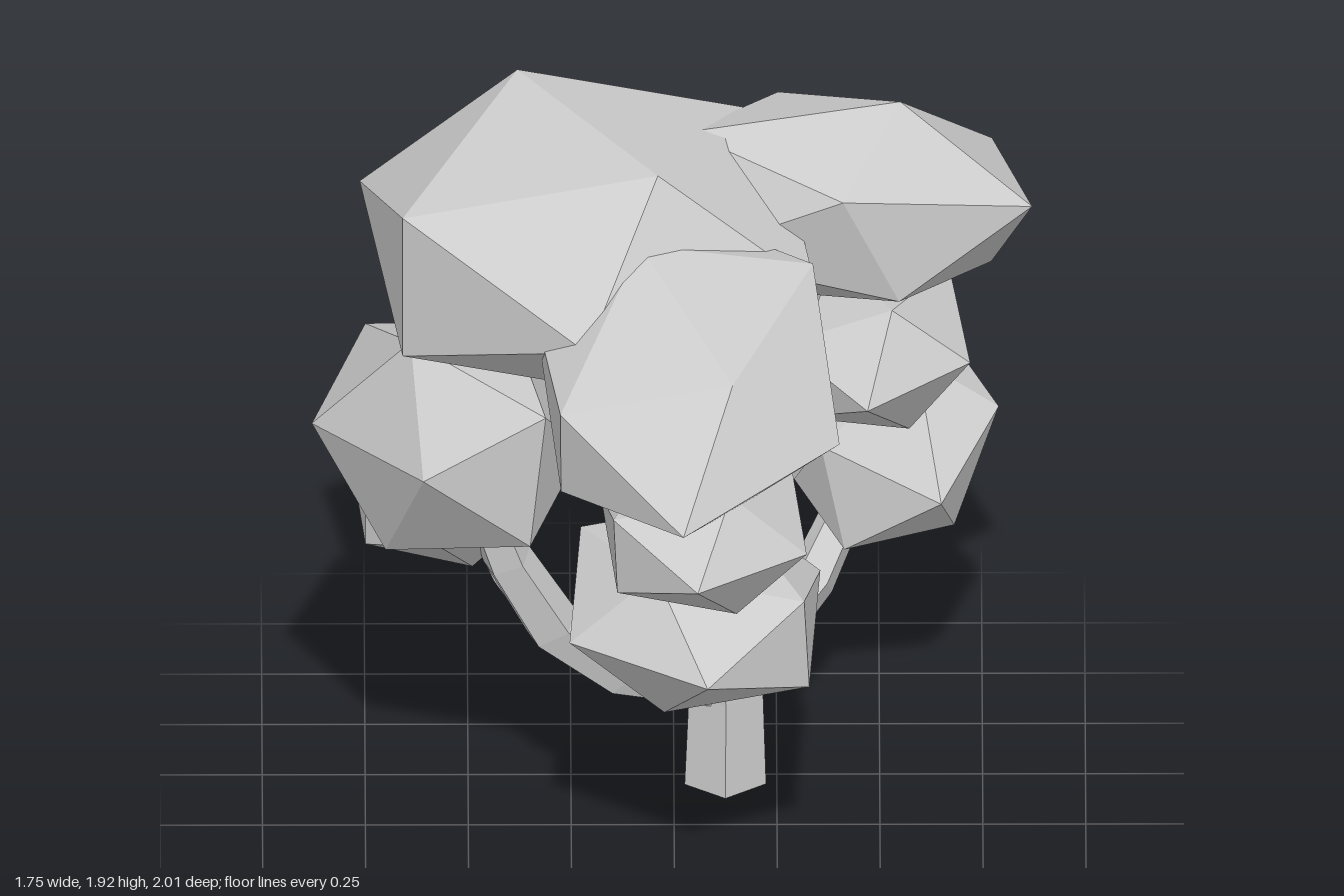
import * as THREE from 'three';
import { ConvexGeometry } from 'three/addons/geometries/ConvexGeometry.js';

const V = (p) => new THREE.Vector3(...p);

// Stretched icosahedron, set by its centre and the three corners of one face
function clump(centre, p, q, r) {
  const o = V(centre);
  const [a, b, c] = [p, q, r].map((k) => V(k).sub(o));
  const k = (Math.sqrt(5) - 1) / 2;
  const across = (u, v, w) => u.clone().add(v).multiplyScalar(k).sub(w);
  const axes = [a, b, c, across(a, b, c), across(b, c, a), across(c, a, b)];
  const points = axes.flatMap((v) => [o.clone().add(v), o.clone().sub(v)]);
  return new ConvexGeometry(points);
}

// Five-sided tapering limb along a curve; the first ring closes the lower end
function limb(path, r0, r1, rings = 5) {
  const curve = new THREE.CatmullRomCurve3(path.map(V));
  const geo = new THREE.TubeGeometry(curve, rings, 1, 5);
  const pos = geo.attributes.position;
  const v = new THREE.Vector3();
  for (let i = 0; i < pos.count; i++) {
    const ring = Math.floor(i / 6);
    const t = Math.max(0, ring - 1) / (rings - 1);
    const radius = ring === 0 ? 0 : THREE.MathUtils.lerp(r0, r1, t);
    v.fromBufferAttribute(pos, i).sub(curve.getPointAt(ring / rings));
    v.multiplyScalar(radius).add(curve.getPointAt(t));
    pos.setXYZ(i, v.x, v.y, v.z);
  }
  return geo;
}

export function createModel() {
  const tree = new THREE.Group();
  tree.name = 'tree';
  const material = new THREE.MeshStandardMaterial({ color: 0xcccccc, flatShading: true });
  const add = (name, geometry) => {
    const mesh = new THREE.Mesh(geometry, material);
    mesh.name = name;
    tree.add(mesh);
  };

  // Trunk
  add('trunk', limb([[0.125, 0, -0.232], [0.125, 0.3, -0.232], [0.095, 0.7, -0.232],
    [0.08, 1.0, -0.232], [0.03, 1.5, -0.225]], 0.104, 0.05, 7));

  // Branches, each ending inside its clump of leaves: base radius, then path
  const branches = {
    leftSide: [0.085, [0.1, 0.3, -0.22], [-0.2, 0.4, -0.12], [-0.37, 0.64, -0.05], [-0.48, 0.95, 0]],
    lowLeft: [0.05, [-0.25, 0.46, -0.1], [-0.38, 0.58, -0.15], [-0.5, 0.8, -0.22]],
    lowBack: [0.075, [0.14, 0.32, -0.22], [0.33, 0.42, -0.45], [0.46, 0.66, -0.64]],
    lowFront: [0.065, [0.1, 0.44, -0.22], [0.09, 0.53, 0], [0.07, 0.68, 0.2]],
    rightSide: [0.055, [0.1, 0.65, -0.25], [0.3, 0.84, -0.38], [0.42, 1.0, -0.43]],
    middleFront: [0.055, [0.09, 0.72, -0.22], [0.08, 0.83, 0.2], [0.07, 1.06, 0.47]],
    middleBack: [0.065, [0.1, 0.45, -0.24], [0, 0.52, -0.4], [-0.13, 0.65, -0.53], [-0.2, 0.85, -0.6]],
    crown: [0.055, [0.06, 0.85, -0.22], [-0.15, 1.0, -0.18], [-0.26, 1.38, -0.1]],
    highRight: [0.055, [0.08, 0.98, -0.24], [0.26, 1.22, -0.22], [0.36, 1.5, -0.2]],
    highBack: [0.055, [0.08, 1.0, -0.24], [0, 1.1, -0.42], [-0.1, 1.32, -0.57]],
    highFront: [0.055, [0.08, 1.05, -0.22], [0.05, 1.15, -0.09], [0.04, 1.5, 0.03]],
  };
  for (const [name, [radius, ...path]] of Object.entries(branches))
    add(name + 'Branch', limb(path, radius, radius * 0.65));

  // Leaf clumps: centre, then three corners of one face
  const leaves = {
    crown: [[-0.21, 1.605, -0.07], [-0.38, 1.915, -0.335], [-0.04, 1.915, 0.195], [-0.66, 1.8, 0.2]],
    highFront: [[0.03, 1.51, 0.475], [0.02, 1.355, 0.995], [0.14, 1.635, 0.74], [0.4, 1.444, 0.69]],
    highRight: [[0.4, 1.635, -0.2], [0.55, 1.905, -0.19], [0.87, 1.68, -0.07], [0.41, 1.78, 0.09]],
    highBack: [[-0.145, 1.385, -0.62], [-0.12, 1.36, -0.94], [-0.25, 1.61, -0.77], [0.24, 1.51, -0.77]],
    leftSide: [[-0.55, 1.085, 0], [-0.61, 1.145, 0.34], [-0.64, 1.4, 0.1], [-0.88, 1.09, -0.05]],
    middleFront: [[0.07, 1.165, 0.59], [0.055, 1.185, 0.97], [0.32, 1.175, 0.757], [0.15, 1.01, 0.757]],
    middleBack: [[-0.22, 0.95, -0.61], [-0.19, 1.03, -0.965], [-0.22, 0.75, -0.78], [0.05, 0.93, -0.76]],
    rightSide: [[0.48, 1.09, -0.455], [0.47, 1.11, -0.07], [0.53, 1.29, -0.25], [0.72, 1.13, -0.275]],
    lowFront: [[0.05, 0.735, 0.23], [0.08, 0.735, 0.642], [-0.255, 0.735, 0.41], [-0.045, 0.925, 0.41]],
    lowBack: [[0.5, 0.765, -0.65], [0.79, 0.855, -0.55], [0.585, 0.995, -0.89], [0.59, 0.99, -0.55]],
    lowLeft: [[-0.56, 0.84, -0.23], [-0.49, 1.0, -0.07], [-0.63, 1.0, -0.39], [-0.37, 0.94, -0.385]],
  };
  for (const [name, corners] of Object.entries(leaves)) add(name + 'Leaves', clump(...corners));

  return tree;
}
